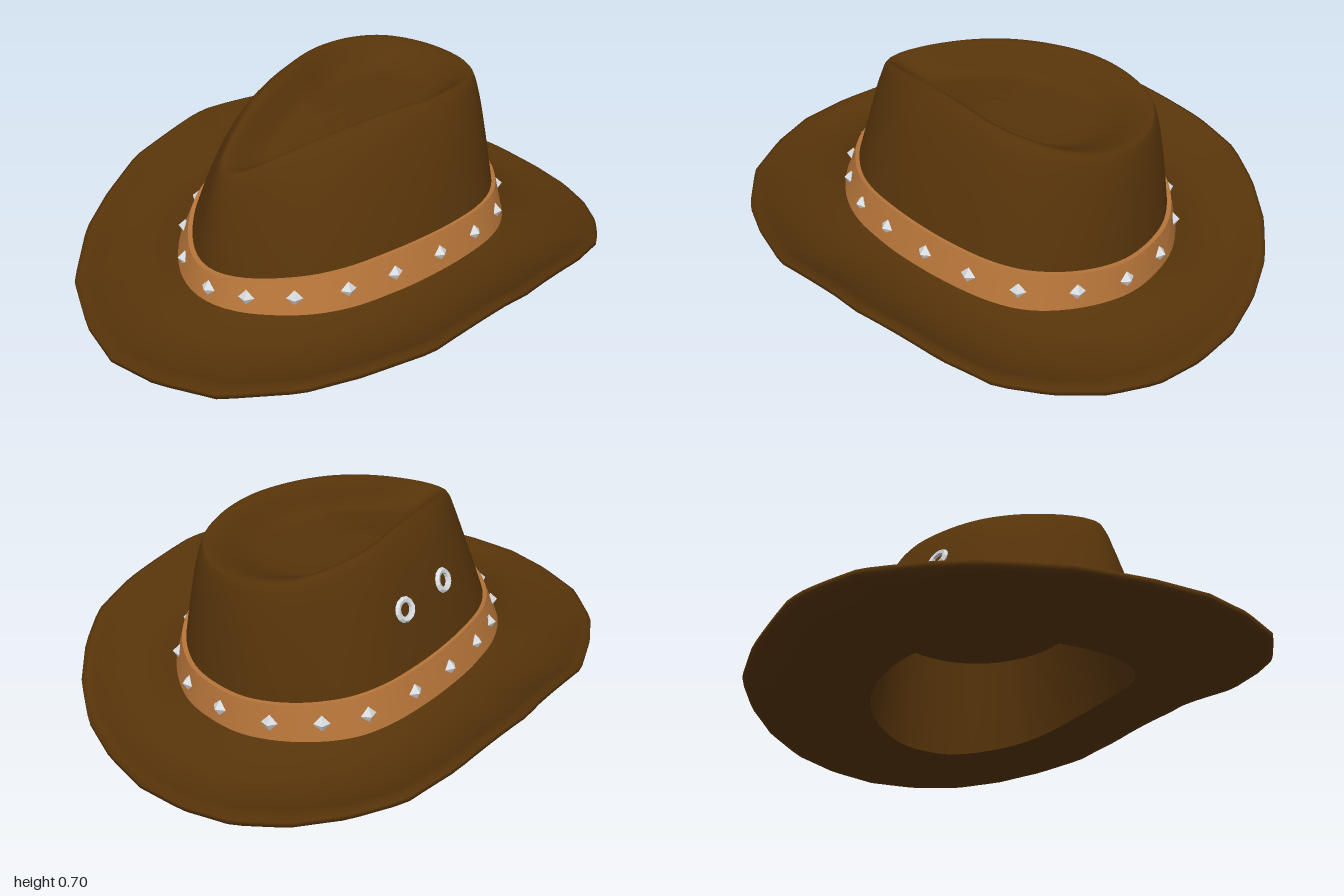
import * as THREE from 'three';

const N = 112;      // samples around the hat
const CZ = -0.08;   // centre of all the outlines
const CURVE = 1.6;  // bulge of the crown wall
const lerp = THREE.MathUtils.lerp;

// Closed mirrored outline from half its points (front to back), resampled by angle.
function outline(half, tension) {
  const pts = half.map(([x, z]) => new THREE.Vector3(x, 0, z));
  const mirrored = pts.slice(1, -1).reverse().map((p) => new THREE.Vector3(-p.x, 0, p.z));
  const curve = new THREE.CatmullRomCurve3([...pts, ...mirrored], true, 'catmullrom', tension);
  const polar = curve.getPoints(800)
    .filter((p) => p.x >= -1e-6)
    .map((p) => [Math.abs(Math.atan2(p.x, p.z - CZ)), Math.hypot(p.x, p.z - CZ)])
    .sort((a, b) => a[0] - b[0]);
  const ring = [];
  for (let j = 0; j < N; j++) {
    const a = (j / N) * Math.PI * 2;
    const m = Math.min(a, Math.PI * 2 - a);
    let k = polar.findIndex((p) => p[0] >= m);
    if (k < 0) k = polar.length - 1;
    const p0 = polar[Math.max(k - 1, 0)], p1 = polar[k];
    const t = p1[0] > p0[0] ? THREE.MathUtils.clamp((m - p0[0]) / (p1[0] - p0[0]), 0, 1) : 0;
    const r = lerp(p0[1], p1[1], t);
    ring.push(new THREE.Vector3(Math.sin(a) * r, 0, CZ + Math.cos(a) * r));
  }
  return ring;
}

const scaled = (ring, s) => ring.map((p) => new THREE.Vector3(p.x * s, p.y, CZ + (p.z - CZ) * s));
const mix = (a, b, t) => a.map((p, j) => p.clone().lerp(b[j], t));
const raise = (ring, f) => ring.map((p) => new THREE.Vector3(p.x, f(p.z), p.z));

// Skin over a list of closed rings.
function loft(rings) {
  const pos = [], idx = [];
  rings.forEach((ring) => ring.forEach((p) => pos.push(p.x, p.y, p.z)));
  for (let r = 0; r < rings.length - 1; r++) {
    for (let j = 0; j < N; j++) {
      const k = (j + 1) % N;
      const a = r * N + j, b = r * N + k, c = b + N, d = a + N;
      idx.push(a, b, c, a, c, d);
    }
  }
  const g = new THREE.BufferGeometry();
  g.setAttribute('position', new THREE.Float32BufferAttribute(pos, 3));
  g.setIndex(idx);
  g.computeVertexNormals();
  return g;
}

// Height rules along the length of the hat
const brimTopInner = (z) => 0.175 - 0.065 * z * z;
const brimUnderInner = (z) => 0.152 - 0.3 * z * z;
const brimEdge = (z) => (z > 0 ? 0.268 - 0.175 * z ** 1.25 : 0.268 - 0.213 * (-z) ** 1.8);
const ridgeHeight = (z) => 0.705 - (z > -0.12 ? 0.35 : 0.22) * (z + 0.12) ** 2;
const floorHeight = (z) => 0.6 - 0.2 * Math.max(0, z);
const bandTop = (z) => 0.3 - (z > 0 ? 0.165 : 0.09) * z * z;

export function createModel() {
  const felt = new THREE.MeshStandardMaterial({ color: 0x57340a });
  felt.name = 'brown felt';
  const leather = new THREE.MeshStandardMaterial({ color: 0xb57439 });
  leather.name = 'tan leather';
  const silver = new THREE.MeshStandardMaterial({ color: 0xd8dbdf });
  silver.name = 'silver';

  const hat = new THREE.Group();
  hat.name = 'hat';
  const add = (name, geometry, material, parent = hat) => {
    const m = new THREE.Mesh(geometry, material);
    m.name = name;
    parent.add(m);
    return m;
  };

  // Plan outlines
  const brimLine = outline([[0, 0.995], [0.19, 0.96], [0.4, 0.87], [0.59, 0.69], [0.69, 0.53],
    [0.79, 0.32], [0.84, -0.07], [0.815, -0.4], [0.77, -0.58], [0.665, -0.72], [0.53, -0.84],
    [0.37, -0.93], [0.19, -0.98], [0, -1]], 0);
  const bandLine = outline([[0, 0.63], [0.11, 0.61], [0.22, 0.55], [0.34, 0.44], [0.42, 0.31],
    [0.47, 0.15], [0.495, 0], [0.5, -0.16], [0.48, -0.33], [0.42, -0.47], [0.3, -0.59],
    [0.15, -0.67], [0, -0.69]], 0.5);
  const ridgeLine = outline([[0, 0.48], [0.06, 0.44], [0.13, 0.3], [0.2, 0.12], [0.25, -0.05],
    [0.28, -0.2], [0.27, -0.35], [0.22, -0.48], [0.12, -0.56], [0, -0.585]], 0.5);

  // Brim: underside outwards, round the edge, then back over the top
  const openLine = scaled(bandLine, 0.82);
  const rimLine = scaled(brimLine, 0.98);
  const crownLine = scaled(bandLine, 0.955);
  const under = [], top = [];
  const STEPS = 10;
  for (let i = 0; i <= STEPS; i++) {
    const s = i / STEPS, sag = 4 * s * (1 - s);
    under.push(mix(raise(openLine, brimUnderInner), raise(rimLine, (z) => brimEdge(z) - 0.035), s)
      .map((p) => {
        const side = 1 - (p.z * p.z) / (p.x * p.x + p.z * p.z);
        p.y -= sag * (0.038 - 0.006 * side);
        return p;
      }));
    top.unshift(mix(raise(crownLine, brimTopInner), raise(rimLine, brimEdge), s)
      .map((p) => { p.y -= 0.04 * sag; return p; }));
  }
  const edge = [0.025, 0.007].map((d) => raise(brimLine, (z) => brimEdge(z) - d));
  add('brim', loft([...under, ...edge, ...top]), felt);

  // Crown: convex wall up to the teardrop ridge, then down into the dent
  const foot = raise(crownLine, brimTopInner);
  const ridge = raise(ridgeLine, ridgeHeight);
  const wallPoint = (j, u) => {
    const p = foot[j].clone().lerp(ridge[j], u);
    return p.setY(lerp(foot[j].y, ridge[j].y, 1 - (1 - u) ** CURVE));
  };
  const wall = (u) => foot.map((p, j) => wallPoint(j, u));
  const crown = [];
  for (let i = 0; i <= 14; i++) crown.push(wall(i / 14));
  for (const s of [0.95, 0.9, 0.84, 0.78, 0.72, 0.66, 0.6, 0.45, 0.25, 0]) {
    const t = THREE.MathUtils.smoothstep(1 - s, 0, 0.42);
    crown.push(scaled(ridge, s).map((p) => p.setY(lerp(p.y, floorHeight(p.z), t))));
  }
  add('crown', loft(crown), felt);

  // Hollow inside of the thick crown, closed by a flat ceiling
  const ceiling = raise(scaled(wall(0.45), 0.88), () => 0.44);
  const opening = raise(openLine, brimUnderInner);
  add('liningCeiling', loft([scaled(ceiling, 0), ceiling]), felt);
  add('liningWall', loft([ceiling, mix(ceiling, opening, 0.5), opening]), felt);

  // Leather band, hugging the crown wall
  const bandLow = raise(bandLine, (z) => brimTopInner(z) - 0.008);
  const wallAtBandTop = foot.map((p, j) => {
    const y = bandTop(p.z);
    const v = (y - p.y) / (ridge[j].y - p.y);
    return wallPoint(j, 1 - (1 - v) ** (1 / CURVE)).setY(y);
  });
  const bandHigh = scaled(wallAtBandTop, 1.028);
  add('bandFace', loft([bandLow, bandHigh]), leather);
  add('bandTopEdge', loft([bandHigh, scaled(wallAtBandTop, 0.99)]), leather);

  // Pointed studs round the band, by angle from the front in degrees
  const studs = new THREE.Group();
  studs.name = 'bandStuds';
  hat.add(studs);
  const path = new THREE.CatmullRomCurve3(mix(bandLow, bandHigh, 0.48), true);
  const studShape = new THREE.OctahedronGeometry(0.03).scale(0.95, 1, 0.75);
  for (const degrees of [3, 15, 29, 46, 64.5, 87.5, 109, 128, 148, 166, 183.5, 202, 219, 235,
    256, 278, 300, 316, 332, 347]) {
    const p = path.getPoint(degrees / 360), t = path.getTangent(degrees / 360);
    const stud = add('stud', studShape, silver, studs);
    stud.position.copy(p);
    stud.lookAt(p.x - t.z, p.y + 0.15, p.z + t.x);
  }

  // Two ventilation eyelets on the right side, ringed outside and inside the wall
  const eyeletShape = new THREE.TorusGeometry(0.034, 0.011, 5, 12).toNonIndexed();
  eyeletShape.computeVertexNormals();
  for (const [x, z, nz] of [[-0.39, -0.16, 0], [-0.36, 0.07, 0.2]]) {
    const eyelet = new THREE.Group();
    eyelet.name = 'eyelet';
    hat.add(eyelet);
    add('outerRing', eyeletShape, silver, eyelet);
    add('innerRing', eyeletShape, silver, eyelet).position.z = -0.065;
    eyelet.position.set(x, 0.495, z);
    eyelet.lookAt(x - 1, 0.9, z + nz);
  }
  return hat;
}
